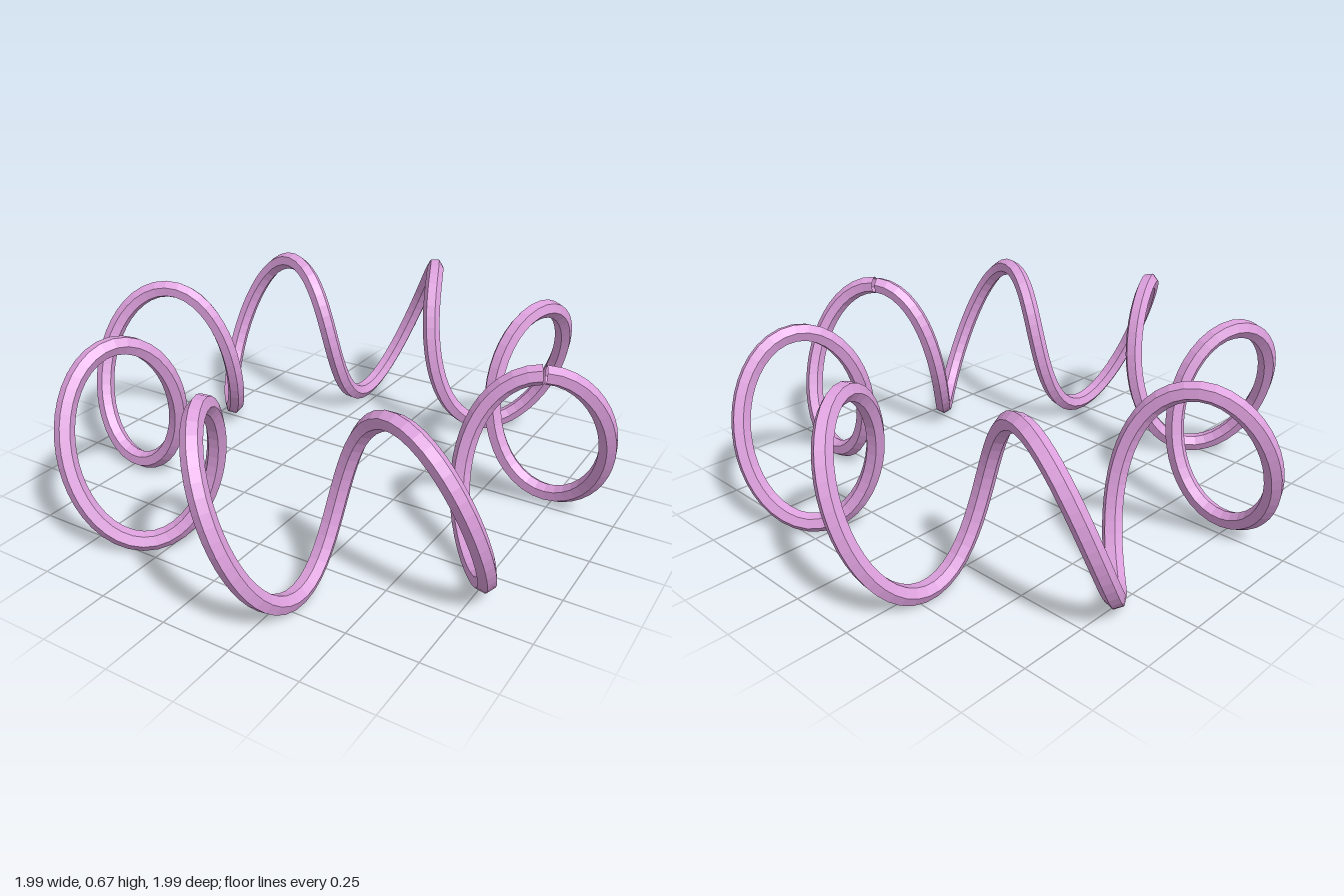
import * as THREE from 'three';

const TURNS = 8;
const RING_RADIUS = 0.78;   // centre of the coil to the centre of each loop
const LOOP_WIDTH = 0.2;     // half width of a loop
const LOOP_HEIGHT = 0.3;    // half height of a loop
const WIRE = 0.034;
const GAP = 0.0065;         // small opening where the two ends meet

// Path of a helix wound around a ring, starting at the top of a loop
class CoilCurve extends THREE.Curve {
  getPoint(t, target = new THREE.Vector3()) {
    const angle = GAP / 2 + t * (Math.PI * 2 - GAP);
    const r = RING_RADIUS + LOOP_WIDTH * Math.sin(TURNS * angle);
    return target.set(
      r * Math.cos(angle),
      LOOP_HEIGHT + WIRE + LOOP_HEIGHT * Math.cos(TURNS * angle),
      -r * Math.sin(angle)
    );
  }
}

export function createModel() {
  const group = new THREE.Group();
  group.name = 'ringCoil';

  const curve = new CoilCurve();
  curve.arcLengthDivisions = 800;

  // Six-sided wire, open at both ends
  const wire = new THREE.Mesh(
    new THREE.TubeGeometry(curve, 320, WIRE, 6, false),
    new THREE.MeshStandardMaterial({ color: 0xdda0dd, flatShading: true, side: THREE.DoubleSide })
  );
  wire.name = 'coilWire';
  group.add(wire);
  return group;
}
